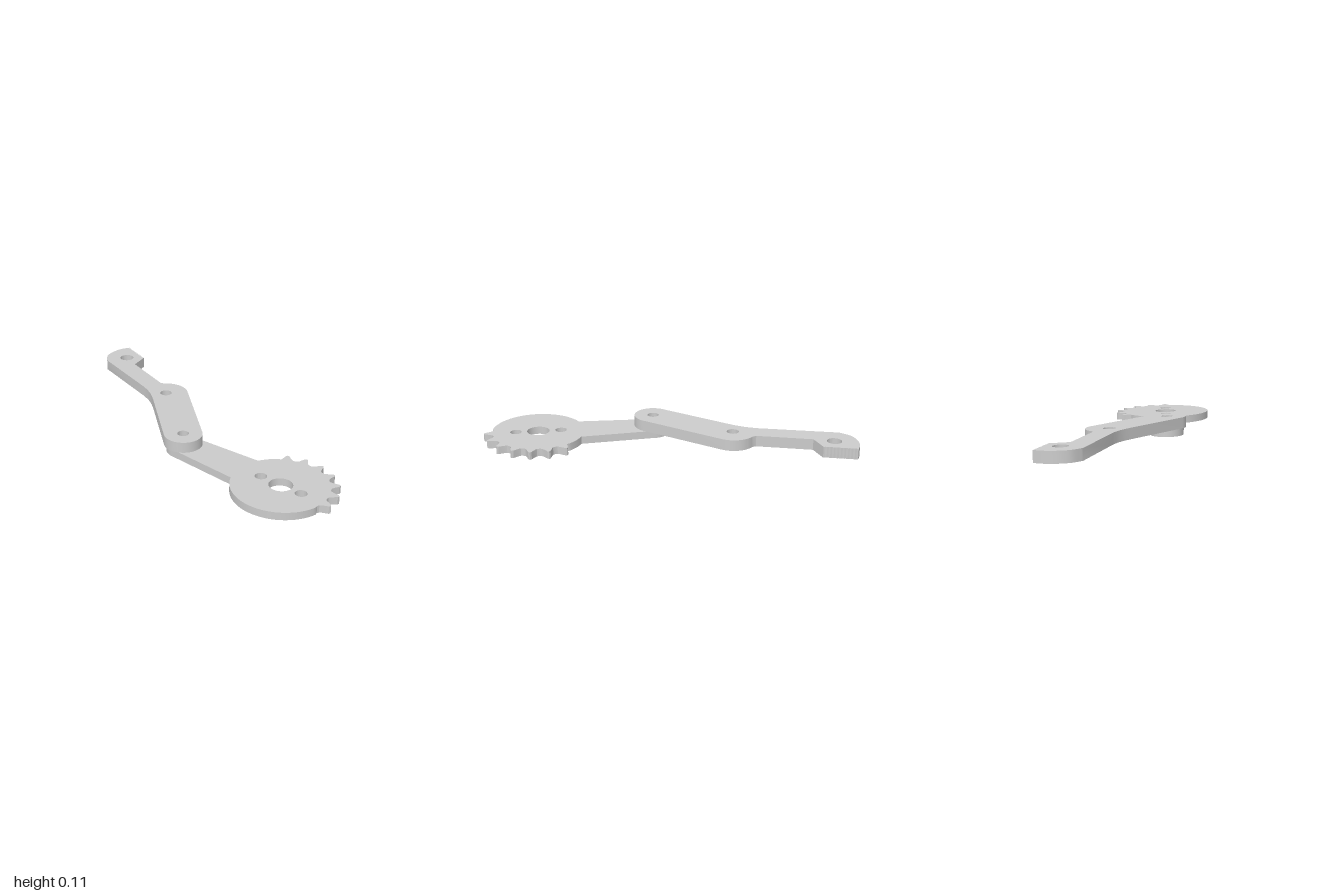
import * as THREE from 'three';
import { toCreasedNormals } from 'three/addons/utils/BufferGeometryUtils.js';

const material = new THREE.MeshStandardMaterial({ color: 0xcccccc });
const TILT = -0.021; // both plates fall slightly toward +x
const rad = THREE.MathUtils.degToRad;

// Plan points are [x, z]; angles run from +x toward +z.
const polar = (cx, cz, r, deg) => [cx + r * Math.cos(rad(deg)), cz + r * Math.sin(rad(deg))];

function arc(cx, cz, r, from, to, steps) {
  const pts = [];
  for (let i = 0; i <= steps; i++) pts.push(polar(cx, cz, r, from + ((to - from) * i) / steps));
  return pts;
}

function smooth(points, steps) {
  const curve = new THREE.SplineCurve(points.map(([x, z]) => new THREE.Vector2(x, z)));
  return curve.getPoints(steps).map((p) => [p.x, p.y]);
}

// Flat plate with round holes [x, z, radius], laid in the tilted plane.
// The outline runs clockwise, so the holes run counterclockwise.
function plate(name, outline, holes, bottom, thickness) {
  const shape = new THREE.Shape(outline.map(([x, z]) => new THREE.Vector2(x, -z)));
  for (const [x, z, r] of holes) {
    shape.holes.push(new THREE.Path().absarc(x, -z, r, 0, Math.PI * 2, false));
  }
  const geo = new THREE.ExtrudeGeometry(shape, { depth: thickness, bevelEnabled: false, curveSegments: 20 });
  geo.rotateX(-Math.PI / 2);
  const pos = geo.attributes.position;
  for (let i = 0; i < pos.count; i++) pos.setY(i, pos.getY(i) + bottom + TILT * pos.getX(i));
  const mesh = new THREE.Mesh(toCreasedNormals(geo, 0.5), material);
  mesh.name = name;
  return mesh;
}

export function createModel() {
  const group = new THREE.Group();
  group.name = 'gearLinkage';
  const hub = [-0.172, 0.697];
  const pivot = [-0.185, 0.046];
  const elbow = [0.114, -0.358];

  // Gear sector: round disc, seven teeth, and an arm reaching to the pivot
  const gear = arc(...hub, 0.261, -64.4, -39, 6);
  const tooth = [[-7, 0.257], [-5, 0.267], [-1.8, 0.297], [0, 0.303],
    [1.8, 0.297], [5, 0.267], [7, 0.257], [9.9, 0.254]];
  for (let i = 0; i < 7; i++) {
    for (const [a, r] of tooth) gear.push(polar(...hub, r, -30 + i * 19.8 + a));
  }
  gear.push(...arc(...hub, 0.26, 102, 243.5, 36));
  gear.push(...arc(...pivot, 0.091, 177, 363, 28));
  group.add(plate('gearArm', gear,
    [[...hub, 0.063], [-0.173, 0.57, 0.032], [-0.17, 0.822, 0.032], [...pivot, 0.031]],
    0.0026, 0.043));

  // Upper link: rounded pivot end, bulged elbow, hooked head
  const link = arc(...pivot, 0.105, 36.5, 216.5, 28);
  link.push(...smooth([[0, -0.352], [0.035, -0.4], [0.063, -0.45], [0.085, -0.506]], 12));
  link.push(...smooth([[0.2, -0.934], [0.243, -0.977], [0.285, -0.995], [0.33, -1],
    [0.38, -0.994], [0.431, -0.971]], 20));
  // Finely serrated end face
  const teeth = 10;
  for (let i = 1; i < teeth * 2; i++) {
    const t = i / (teeth * 2), cut = i % 2 ? 0.003 : 0;
    link.push([0.431 - 0.05 * t - cut, -0.971 + 0.176 * t - cut * 0.25]);
  }
  link.push([0.381, -0.795], [0.275, -0.768]);
  link.push([0.191, -0.473], ...arc(...elbow, 0.126, -48, 36.5, 18));
  group.add(plate('link', link,
    [[...pivot, 0.031], [...elbow, 0.033], [0.312, -0.874, 0.04]],
    0.0457, 0.061));

  return group;
}
